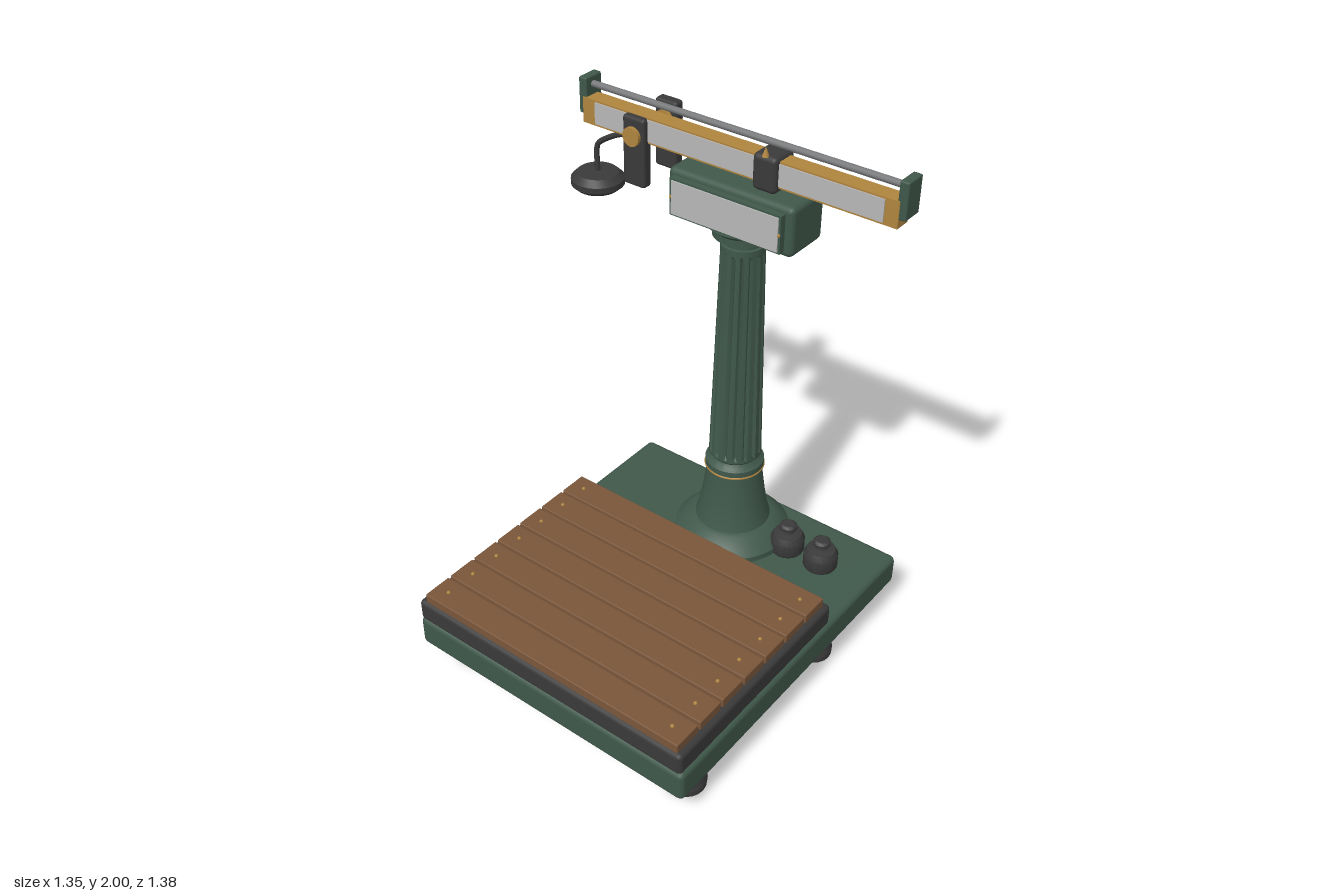
import * as THREE from 'three';
import { toCreasedNormals } from 'three/addons/utils/BufferGeometryUtils.js';
import { RoundedBoxGeometry } from 'three/addons/geometries/RoundedBoxGeometry.js';

const material = (name, color) => {
  const m = new THREE.MeshStandardMaterial({ color });
  m.name = name;
  return m;
};

export function createModel() {
  const green = material('green enamel', 0x40584b);
  const iron = material('dark iron', 0x3a3a3b);
  const wood = material('wood', 0x7a563a);
  const brass = material('brass', 0xb0853f);
  const plate = material('pale plate', 0xb8b8b8);
  const steel = material('steel', 0x77797a);

  const model = new THREE.Group();
  model.name = 'platformScale';

  const add = (name, geometry, mat, x = 0, y = 0, z = 0) => {
    const mesh = new THREE.Mesh(geometry, mat);
    mesh.name = name;
    mesh.position.set(x, y, z);
    model.add(mesh);
    return mesh;
  };
  // Box given by its limits on each axis, with an optional rounded edge
  const box = (name, mat, [x0, x1], [y0, y1], [z0, z1], r = 0) => {
    const size = [x1 - x0, y1 - y0, z1 - z0];
    const g = r ? new RoundedBoxGeometry(...size, 2, r) : new THREE.BoxGeometry(...size);
    return add(name, g, mat, (x0 + x1) / 2, (y0 + y1) / 2, (z0 + z1) / 2);
  };
  // Turned part from [radius, height] pairs, listed bottom to top
  const turned = (profile, segments) =>
    new THREE.LatheGeometry(profile.map(([r, y]) => new THREE.Vector2(r, y)), segments);
  const crease = (g) => toCreasedNormals(g, 0.5);

  // Base and feet
  box('base', green, [-0.59, 0.63], [0.118, 0.245], [-0.69, 0.69], 0.022);
  const foot = crease(turned([[0, 0], [0.074, 0], [0.076, 0.025], [0.07, 0.04], [0.056, 0.122], [0, 0.122]], 20));
  for (const x of [-0.48, 0.525]) for (const z of [-0.278, 0.525]) add('foot', foot, iron, x, 0, z);

  // Weighing platform with planks and nails
  box('platform', iron, [-0.583, 0.622], [0.243, 0.335], [-0.22, 0.69], 0.018);
  const nail = new THREE.SphereGeometry(0.008, 8, 6);
  for (let i = 0; i < 7; i++) {
    const z = -0.14 + i * 0.1265;
    box('plank', wood, [-0.555, 0.6], [0.33, 0.37], [z - 0.058, z + 0.058], 0.004);
    for (const x of [-0.495, 0.535]) add('nail', nail, brass, x, 0.37, z);
  }

  // Fluted column: every fourth vertex of the shaft is pressed inward
  const cx = 0.02, cz = -0.442, flutes = 16;
  const column = turned([
    [0, 0.24], [0.225, 0.24], [0.225, 0.268], [0.2, 0.295], [0.165, 0.325], [0.146, 0.33],
    [0.135, 0.37], [0.122, 0.44], [0.111, 0.52], [0.107, 0.57], [0.113, 0.572], [0.113, 0.602],
    [0.1, 0.612], [0.092, 0.625], [0.1, 0.635], [0.1, 0.645], [0.1, 0.66], [0.08, 1.5],
    [0.08, 1.515], [0.08, 1.538], [0.07, 1.54], [0.07, 1.552], [0.088, 1.562], [0.11, 1.572],
    [0.11, 1.598], [0.134, 1.618], [0, 1.618]
  ], flutes * 4);
  const p = column.attributes.position;
  for (let i = 0; i < p.count; i++) {
    const y = p.getY(i);
    if (y < 0.65 || y > 1.51) continue;
    const groove = Math.max(0, -Math.cos(flutes * Math.atan2(p.getX(i), p.getZ(i))));
    const f = 1 - 0.13 * groove;
    p.setXYZ(i, p.getX(i) * f, y, p.getZ(i) * f);
  }
  add('column', crease(column), green, cx, 0, cz);
  const ring = new THREE.TorusGeometry(0.11, 0.006, 8, 48);
  add('collarRing', ring, brass, cx, 0.574, cz).rotation.x = Math.PI / 2;

  // Head with its dial plate
  box('head', green, [-0.236, 0.278], [1.597, 1.783], [-0.535, -0.343], 0.022);
  box('plateFrame', green, [-0.207, 0.248], [1.62, 1.76], [-0.35, -0.318]);
  box('dialPlate', plate, [-0.198, 0.24], [1.627, 1.753], [-0.32, -0.313]);
  for (const x of [-0.201, 0.243]) add('plateScrew', new THREE.SphereGeometry(0.006, 8, 6), brass, x, 1.69, -0.316);

  // Beam, graduated plate, rod and end caps
  box('beam', brass, [-0.61, 0.65], [1.838, 1.932], [-0.41, -0.347]);
  box('beamPlate', plate, [-0.555, 0.6], [1.846, 1.926], [-0.349, -0.343]);
  const rod = new THREE.CylinderGeometry(0.012, 0.012, 1.27, 12);
  add('rod', rod, steel, 0.02, 1.97, -0.388).rotation.z = Math.PI / 2;
  for (const x of [-0.613, 0.657]) {
    box('endCap', green, [x - 0.017, x + 0.017], [1.868, 2], [-0.433, -0.35], 0.006);
  }

  // Sliding poise with pointer
  box('poise', iron, [0.118, 0.212], [1.817, 1.947], [-0.437, -0.325], 0.018);
  add('pointer', new THREE.ConeGeometry(0.013, 0.035, 8), brass, 0.165, 1.96, -0.335);

  // Pivot brackets with brass pins
  const pin = crease(new THREE.CylinderGeometry(0.035, 0.035, 0.072, 16));
  for (const z of [-0.525, -0.345]) {
    box('bracket', iron, [-0.417, -0.322], [1.673, 1.93], [z - 0.022, z + 0.022], 0.012);
    add('pivotPin', pin, brass, -0.37, 1.862, z).rotation.x = Math.PI / 2;
  }

  // Counterweight hanger and pan
  const path = new THREE.CatmullRomCurve3([
    [-0.37, 1.845], [-0.43, 1.832], [-0.5, 1.805], [-0.572, 1.757], [-0.58, 1.74], [-0.58, 1.63]
  ].map(([x, y]) => new THREE.Vector3(x, y, -0.38)));
  add('hanger', new THREE.TubeGeometry(path, 32, 0.01, 8), iron);
  const pan = turned([[0, 0], [0.08, 0], [0.098, 0.016], [0.098, 0.038], [0.075, 0.06], [0, 0.064]], 32);
  add('counterweight', crease(pan), iron, -0.58, 1.585, -0.38);

  // Spare weights on the base
  const weight = crease(turned([
    [0, 0], [0.062, 0], [0.067, 0.01], [0.067, 0.06], [0.055, 0.084], [0.025, 0.09],
    [0.022, 0.102], [0.034, 0.107], [0.034, 0.12], [0.024, 0.128], [0, 0.128]
  ], 20));
  for (const x of [0.267, 0.42]) add('spareWeight', weight, iron, x, 0.243, -0.467);

  return model;
}
